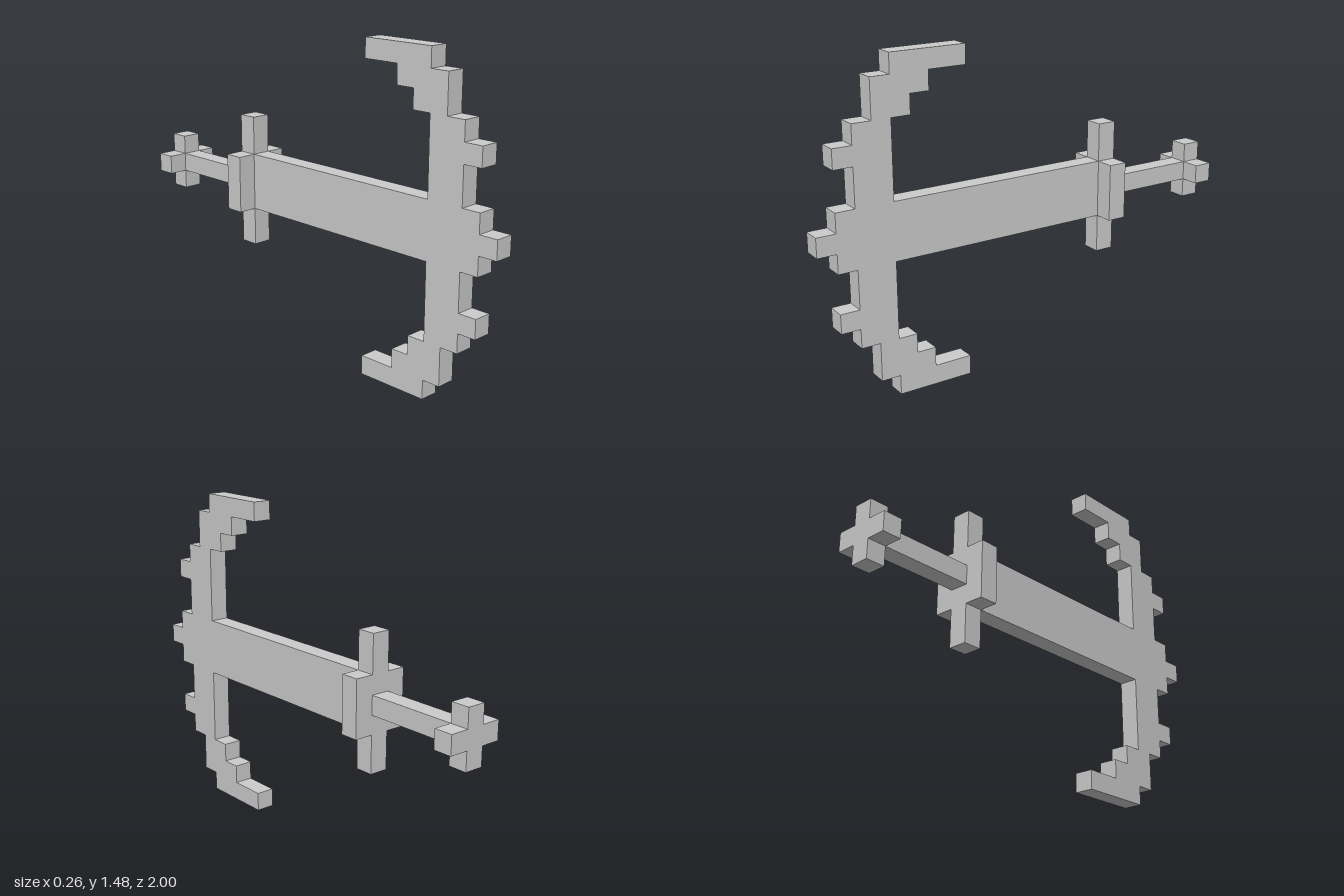
import * as THREE from 'three';

// The model is laid out on a square grid: 23 cells long, 17 tall, 3 wide
const U = 2 / 23;
const material = new THREE.MeshStandardMaterial({ color: 0xcccccc, flatShading: true });

// Mirror the upper half of an outline (given in cells) across its axis
function mirroredShape(half) {
  const lower = half.map(([a, b]) => [a, -b]).reverse();
  return new THREE.Shape([...half, ...lower].map(([a, b]) => new THREE.Vector2(a * U, b * U)));
}

// Extruded slab one cell thick
function slab(name, half) {
  const geometry = new THREE.ExtrudeGeometry(mirroredShape(half), { depth: U, bevelEnabled: false });
  const mesh = new THREE.Mesh(geometry, material);
  mesh.name = name;
  return mesh;
}

// Plus-shaped plate facing z: a post of the given half height, side arms of the given half height
function crossPlate(name, postHalf, armHalf, cell) {
  const plate = slab(name, [
    [-1.5, armHalf], [-0.5, armHalf], [-0.5, postHalf],
    [0.5, postHalf], [0.5, armHalf], [1.5, armHalf],
  ]);
  plate.position.z = cell * U - 1;
  return plate;
}

export function createModel() {
  const model = new THREE.Group();
  model.name = 'crescentAxe';

  // Shaft and stepped crescent head with spikes, as [cells from back, cells above axis]
  const head = slab('shaftAndCrescentHead', [
    [7, 1.5], [19, 1.5], [19, 5.5], [18, 5.5], [18, 6.5], [17, 6.5], [17, 7.5],
    [15, 7.5], [15, 8.5], [19, 8.5], [19, 7.5], [20, 7.5], [20, 5.5], [21, 5.5],
    [21, 4.5], [22, 4.5], [22, 3.5], [21, 3.5], [21, 1.5], [22, 1.5], [22, 0.5], [23, 0.5],
  ]);
  head.geometry.translate(-1, 0, -U / 2).rotateY(-Math.PI / 2);

  // Cross guard and pommel
  const guard = crossPlate('guard', 3.5, 1.5, 6);
  const pommel = crossPlate('pommel', 1.5, 0.5, 0);

  // Grip between pommel and guard
  const grip = new THREE.Mesh(new THREE.BoxGeometry(U, U, 5 * U), material);
  grip.name = 'grip';
  grip.position.z = 3.5 * U - 1;

  for (const part of [head, guard, pommel, grip]) {
    part.position.y = 8.5 * U;
    model.add(part);
  }
  return model;
}
